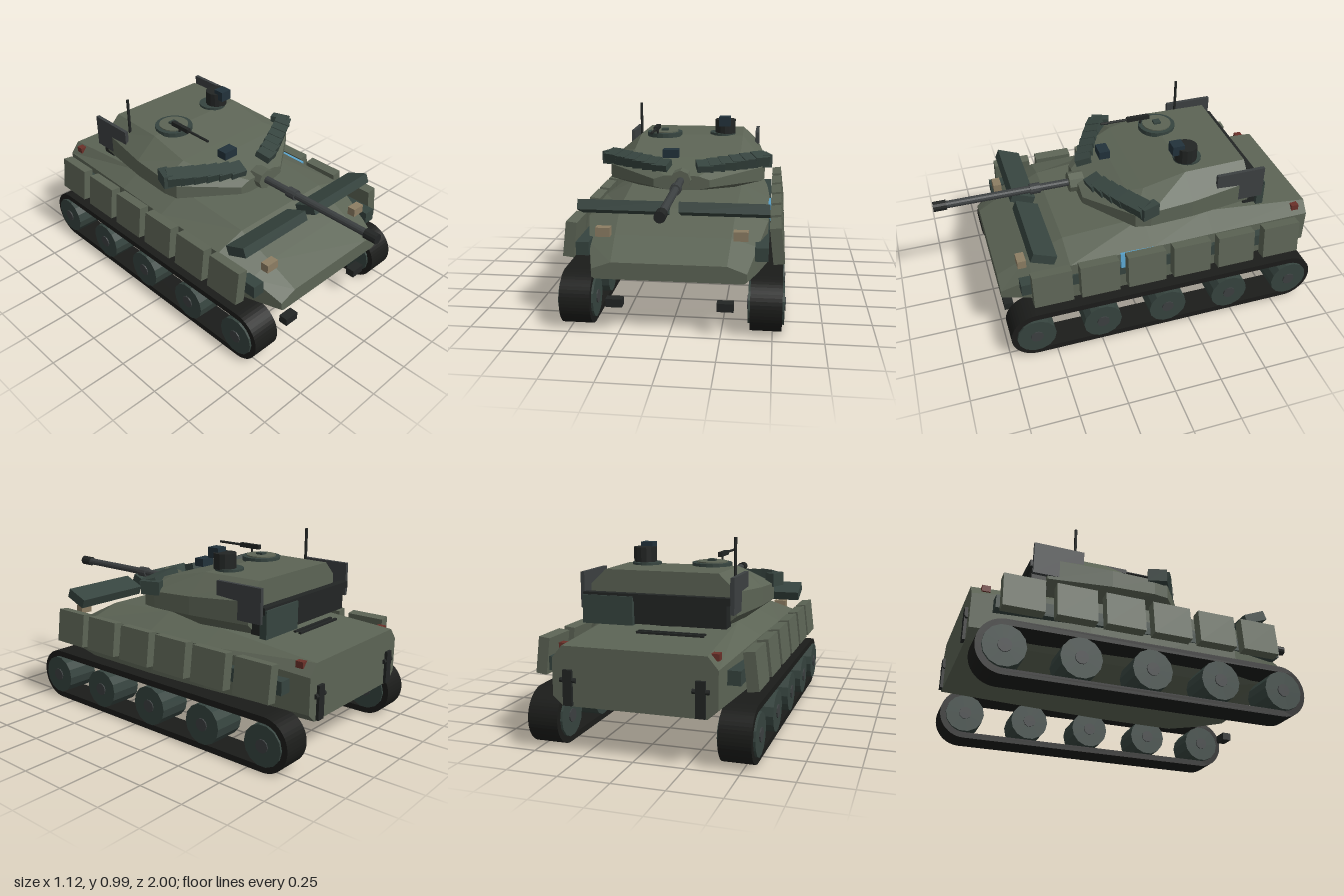
import * as THREE from 'three';

const paint = (color) => new THREE.MeshStandardMaterial({ color, flatShading: true, side: THREE.DoubleSide });
const M = {
  olive: paint(0x5c6455), green: paint(0x36443f), dark: paint(0x222524), steel: paint(0x3c4041),
  rubber: paint(0x1b1c1a), glass: paint(0x22323b), tan: paint(0x8c7d63), red: paint(0x6a3029), blue: paint(0x5aa5cf),
};

export function createModel() {
  const root = new THREE.Group();

  const add = (name, geo, mat, x = 0, y = 0, z = 0, rx = 0, ry = 0, rz = 0) => {
    const m = new THREE.Mesh(geo, mat);
    m.name = name;
    m.position.set(x, y, z);
    m.rotation.set(rx, ry, rz, 'YXZ');
    root.add(m);
    return m;
  };
  const box = (w, h, d) => new THREE.BoxGeometry(w, h, d);
  const disc = (r, h, n = 16, r2 = r) => new THREE.CylinderGeometry(r, r2, h, n);
  const tubeX = (r, l, n) => disc(r, l, n).rotateZ(Math.PI / 2);
  const tubeZ = (r, l, n = 12) => disc(r, l, n).rotateX(Math.PI / 2);

  // Armoured shell from eight-sided sections, listed front to back:
  // [z, bottom half width, bottom y, side half width, side low y, side high y, top half width, top y]
  const loft = (sections) => {
    const rings = sections.map(([z, b, yb, w, y1, y2, t, yt]) =>
      [[b, yb], [w, y1], [w, y2], [t, yt], [-t, yt], [-w, y2], [-w, y1], [-b, yb]].map(([x, y]) => [x, y, z]));
    const pos = [];
    const tri = (...p) => p.forEach((v) => pos.push(...v));
    for (let s = 0; s < rings.length - 1; s++) {
      const A = rings[s], B = rings[s + 1];
      for (let i = 0; i < 8; i++) {
        const j = (i + 1) % 8;
        tri(A[i], B[i], B[j]);
        tri(A[i], B[j], A[j]);
      }
    }
    const F = rings[0], R = rings[rings.length - 1];
    for (let k = 1; k < 7; k++) {
      tri(F[0], F[k], F[k + 1]);
      tri(R[0], R[k + 1], R[k]);
    }
    const g = new THREE.BufferGeometry();
    g.setAttribute('position', new THREE.Float32BufferAttribute(pos, 3));
    g.computeVertexNormals();
    return g;
  };

  // Hull
  add('hull', loft([
    [0.745, 0.36, 0.285, 0.375, 0.295, 0.335, 0.28, 0.37],
    [0.58, 0.37, 0.245, 0.42, 0.285, 0.42, 0.29, 0.46],
    [0.39, 0.38, 0.21, 0.465, 0.28, 0.5, 0.3, 0.552],
    [-0.05, 0.38, 0.213, 0.468, 0.28, 0.51, 0.31, 0.59],
    [-0.4, 0.37, 0.22, 0.45, 0.28, 0.5, 0.33, 0.565],
    [-0.985, 0.35, 0.235, 0.4, 0.28, 0.46, 0.35, 0.52],
  ]), M.olive);

  // Turret
  add('turretRing', disc(0.32, 0.05, 24), M.dark, 0, 0.57, -0.25);
  add('turret', loft([
    [0.235, 0.09, 0.615, 0.15, 0.63, 0.67, 0.09, 0.69],
    [0.03, 0.27, 0.59, 0.42, 0.63, 0.705, 0.27, 0.755],
    [-0.05, 0.31, 0.583, 0.435, 0.63, 0.715, 0.3, 0.775],
    [-0.28, 0.34, 0.565, 0.425, 0.63, 0.725, 0.3, 0.828],
    [-0.615, 0.31, 0.57, 0.38, 0.63, 0.745, 0.29, 0.83],
  ]), M.olive);

  // Rear of turret: recess, rail and stowage bin
  add('turretRearRecess', box(0.7, 0.12, 0.08), M.dark, 0, 0.64, -0.65);
  add('turretRearRail', box(0.74, 0.035, 0.04), M.dark, 0, 0.71, -0.685);
  add('turretBin', box(0.26, 0.14, 0.04), M.green, 0.24, 0.645, -0.695);
  for (const z of [-0.715, -0.745]) add('deckGrille', box(0.34, 0.012, 0.015), M.dark, -0.08, 0.545, z + 0.03);

  // Main gun
  add('gunMantlet', tubeZ(0.055, 0.08, 8), M.olive, 0, 0.672, 0.235);
  add('gunBarrel', tubeZ(0.02, 0.76), M.steel, 0, 0.672, 0.58);
  add('gunSleeve', tubeZ(0.029, 0.055), M.steel, 0, 0.672, 0.46);
  add('gunMuzzle', tubeZ(0.027, 0.07), M.dark, 0, 0.672, 0.965);

  // Hatch with machine gun
  add('hatchRing', disc(0.103, 0.025, 20), M.green, -0.16, 0.832, -0.285);
  add('hatchLid', disc(0.08, 0.01, 20), M.olive, -0.16, 0.846, -0.285);
  add('hatchHandle', box(0.04, 0.015, 0.04), M.green, -0.16, 0.854, -0.285);
  add('machineGunMount', disc(0.006, 0.06, 6), M.dark, -0.19, 0.86, -0.2);
  add('machineGunBody', box(0.022, 0.024, 0.13), M.dark, -0.192, 0.88, -0.185);
  add('machineGunBarrel', tubeZ(0.007, 0.16, 8), M.dark, -0.192, 0.88, -0.05);

  // Panoramic sight, gunner sight and antenna
  add('sightBase', disc(0.075, 0.015, 20), M.green, 0.178, 0.833, -0.335);
  add('sightDrum', disc(0.06, 0.08, 14), M.dark, 0.195, 0.877, -0.32);
  add('sightHead', box(0.066, 0.055, 0.065), M.glass, 0.195, 0.912, -0.268);
  add('gunnerSight', box(0.086, 0.045, 0.06), M.glass, -0.078, 0.778, 0.055);
  add('antenna', disc(0.008, 0.2, 8), M.dark, -0.33, 0.89, -0.46);

  // Track belt: a long loop with round ends
  const stadium = (Shape, r) => {
    const s = new Shape();
    s.absarc(0.6, 0.142, r, -Math.PI / 2, Math.PI / 2, false);
    s.absarc(-0.835, 0.142, r, Math.PI / 2, Math.PI * 1.5, false);
    s.closePath();
    return s;
  };
  const loop = stadium(THREE.Shape, 0.138);
  loop.holes.push(stadium(THREE.Path, 0.106));
  const belt = new THREE.ExtrudeGeometry(loop, { depth: 0.154, bevelEnabled: false, curveSegments: 12 })
    .rotateY(-Math.PI / 2).translate(0.077, 0, 0);

  for (const s of [1, -1]) {
    // Running gear
    add('track', belt, M.rubber, s * 0.468);
    for (const z of [0.605, 0.247, -0.118, -0.477, -0.84]) {
      add('roadWheel', tubeX(0.104, 0.176, 14), M.green, s * 0.468, 0.142, z);
      add('wheelHub', tubeX(0.034, 0.188, 10), M.steel, s * 0.468, 0.142, z);
    }

    // Side skirts on a long carrier
    add('skirtCarrier', box(0.065, 0.068, 1.53), M.green, s * 0.44, 0.403, -0.115);
    for (const z of [0.5, 0.252, 0, -0.25, -0.5, -0.762]) {
      add('skirtPanel', box(0.056, 0.182, 0.205), M.olive, s * 0.514, 0.433, z, 0, 0, s * 0.12);
    }

    // Reactive blocks fanned along the turret cheeks
    for (let i = 0; i < 6; i++) {
      const t = i / 5;
      add('armourBlock', box(0.085, 0.055, 0.085), M.green,
        s * (0.115 + 0.29 * t), 0.722 + 0.025 * t, 0.155 - 0.14 * t - 0.01 * t * t, 0.28, s * (0.25 + 0.3 * t), 0);
    }
    add('cheekEndBlock', box(0.05, 0.07, 0.1), M.green, s * 0.435, 0.735, -0.035, 0, s * 0.35, 0);

    // Raised front panels
    add('frontPanel', box(0.445, 0.052, 0.128), M.green, s * 0.2525, 0.588, 0.525, -0.386);

    // Turret side plates
    add('turretSidePlate', box(0.02, 0.175, 0.265), M.steel, s * 0.378, 0.735, -0.56);

    // Lights, hooks
    add('headlight', box(0.072, 0.046, 0.045), M.tan, s * 0.338, 0.488, 0.622);
    add('tailLight', box(0.066, 0.032, 0.042), M.red, s * 0.355, 0.505, -0.915);
    add('towHook', box(0.082, 0.042, 0.05), M.dark, s * 0.272, 0.155, 0.705);
    add('rearBracket', box(0.045, 0.17, 0.03), M.dark, s * 0.32, 0.325, -0.985);
    add('rearBracketPin', tubeX(0.012, 0.08, 8), M.dark, s * 0.32, 0.36, -0.988);
  }

  // Side marker panel
  add('sideMarker', box(0.016, 0.085, 0.18), M.blue, 0.474, 0.47, 0.035, 0, 0, 0.12);

  return root;
}
